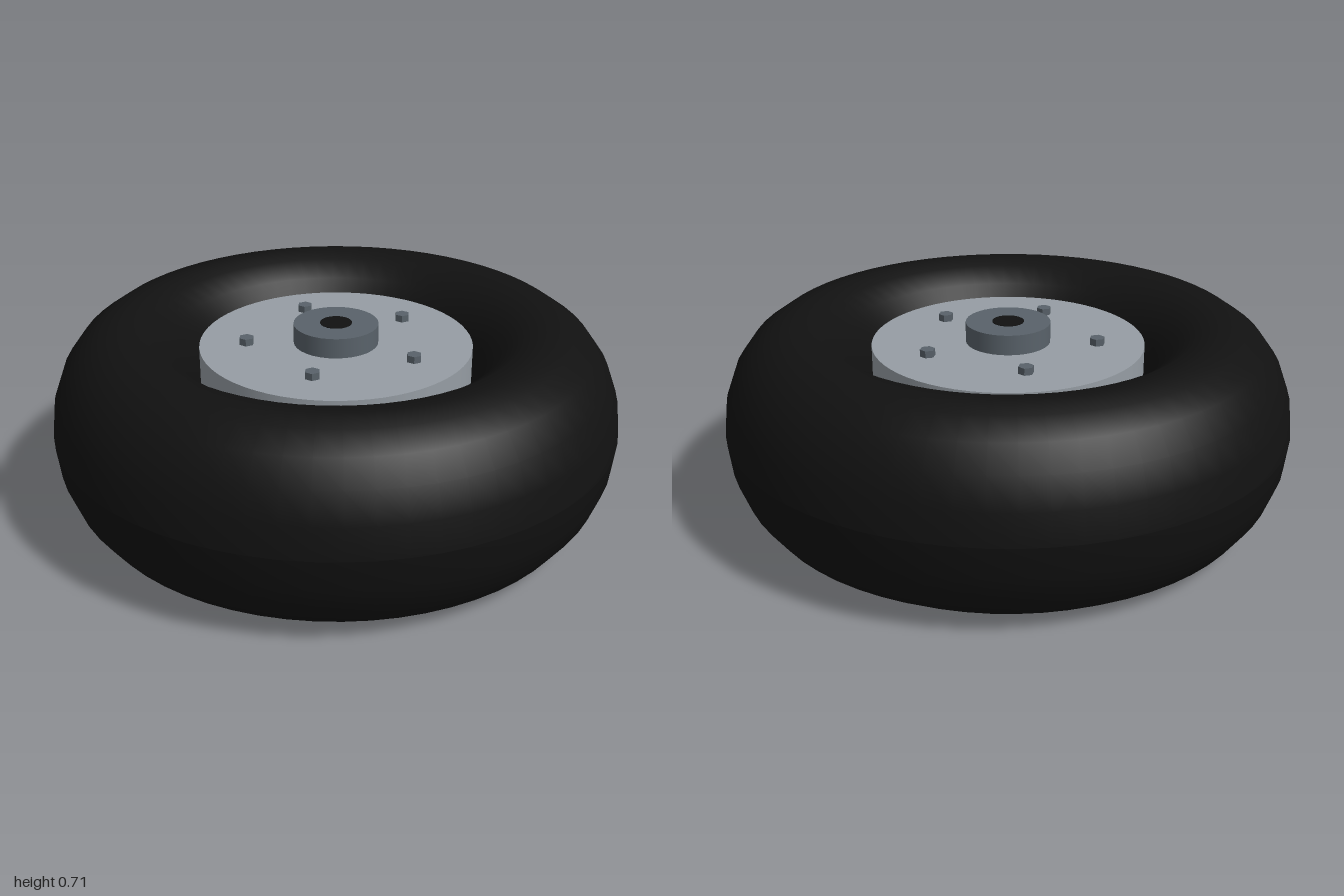
import * as THREE from 'three';

export function createModel() {
  const group = new THREE.Group();
  group.name = 'wheel';
  const material = (name, color) => {
    const m = new THREE.MeshStandardMaterial({ color });
    m.name = name;
    return m;
  };
  const black = material('black rubber', 0x111111);
  const lightGrey = material('light grey metal', 0x969da4);
  const darkGrey = material('dark grey metal', 0x59626a);

  const midY = 0.355; // centre plane of the wheel

  function add(name, geometry, mat, x = 0, y = midY, z = 0) {
    const mesh = new THREE.Mesh(geometry, mat);
    mesh.name = name;
    mesh.position.set(x, y, z);
    group.add(mesh);
    return mesh;
  }

  // Tyre: an oval section swept around the axle
  const section = [];
  for (let i = 0; i <= 20; i++) {
    const a = (i / 20) * Math.PI * 2;
    section.push(new THREE.Vector2(0.74 + 0.26 * Math.cos(a), 0.355 * Math.sin(a)));
  }
  add('tyre', new THREE.LatheGeometry(section, 64), black);

  // Rim, hub and axle bore, each running through the wheel
  add('rim', new THREE.CylinderGeometry(0.48, 0.48, 0.532, 64), lightGrey);
  add('hub', new THREE.CylinderGeometry(0.149, 0.149, 0.674, 32), darkGrey);
  add('bore', new THREE.CylinderGeometry(0.056, 0.056, 0.678, 20), black);

  // Five hexagonal bolts on each face
  const boltGeometry = new THREE.CylinderGeometry(0.027, 0.027, 0.05, 6).toNonIndexed();
  boltGeometry.rotateY(Math.PI / 2);
  boltGeometry.computeVertexNormals();
  for (const side of [1, -1]) {
    for (let i = 0; i < 5; i++) {
      const a = (i / 5) * Math.PI * 2;
      add('bolt', boltGeometry, darkGrey, 0.314 * Math.cos(a), midY + side * 0.266, 0.314 * Math.sin(a));
    }
  }
  return group;
}
